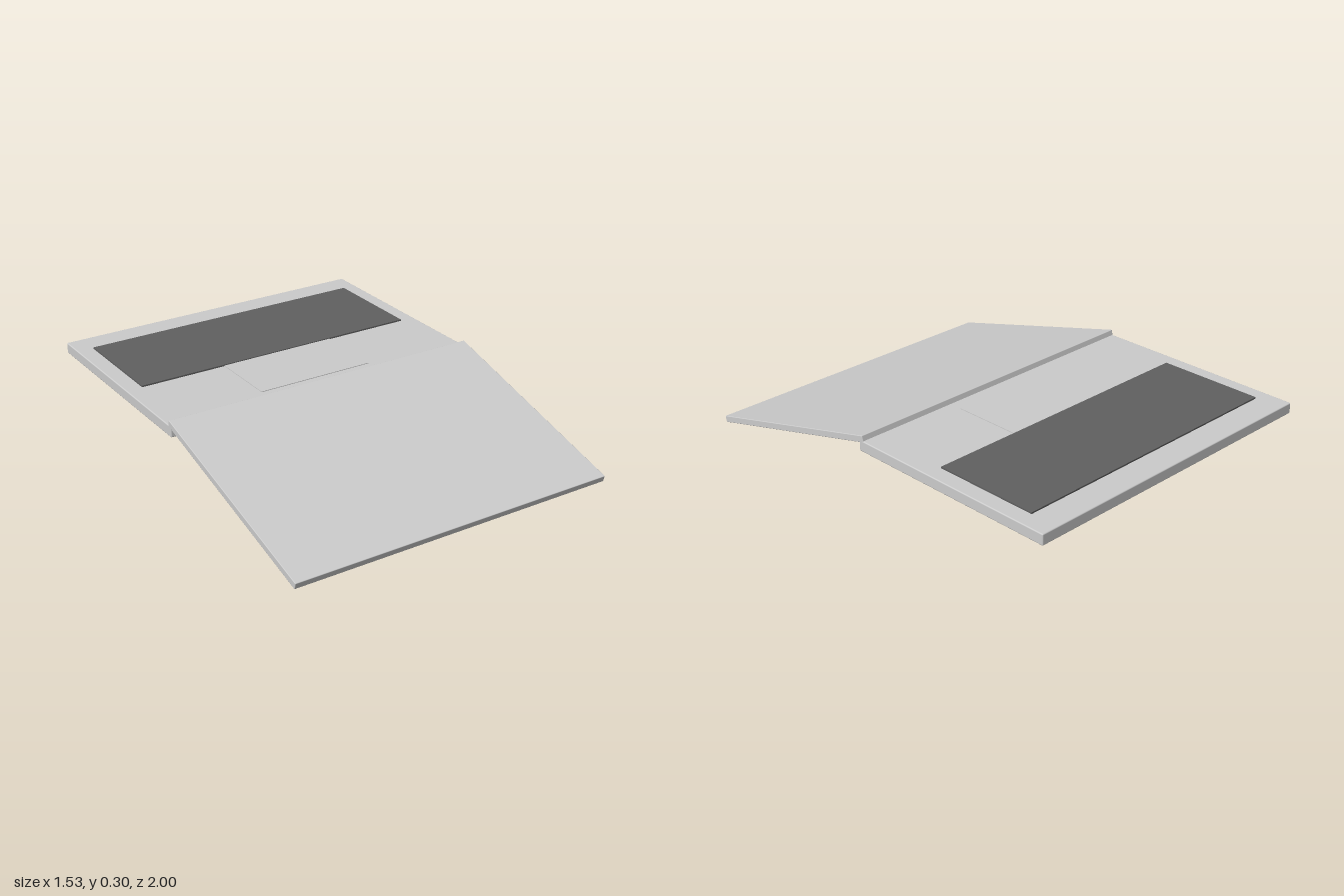
import * as THREE from 'three';
import { RoundedBoxGeometry } from 'three/addons/geometries/RoundedBoxGeometry.js';

const WIDTH = 1.53;
const mat = (color) => new THREE.MeshStandardMaterial({ color });

function add(parent, name, geometry, material, x, y, z) {
  const mesh = new THREE.Mesh(geometry, material);
  mesh.name = name;
  mesh.position.set(x, y, z);
  parent.add(mesh);
  return mesh;
}

// Box given by its width and its y and z ranges, centred on x = 0
function slab(parent, name, material, width, [y0, y1], [z0, z1], radius = 0) {
  const size = [width, y1 - y0, z1 - z0];
  const geometry = radius
    ? new RoundedBoxGeometry(...size, 2, radius)
    : new THREE.BoxGeometry(...size);
  return add(parent, name, geometry, material, 0, (y0 + y1) / 2, (z0 + z1) / 2);
}

export function createModel() {
  const model = new THREE.Group();
  model.name = 'laptop';
  const grey = mat(0xcccccc);
  const keys = mat(0x606060);
  const black = mat(0x222222);
  const glass = mat(0x101c2c);

  // Keyboard half, lying level
  const base = new THREE.Group();
  base.name = 'base';
  slab(base, 'baseBody', grey, WIDTH, [0.227, 0.277], [-1, 0.035], 0.005);
  slab(base, 'keyboard', keys, 1.38, [0.27, 0.284], [-0.87, -0.375]);
  slab(base, 'trackpad', grey, 0.56, [0.27, 0.28], [-0.375, -0.05]);
  model.add(base);

  // Screen half, folded back past flat and sloping down to the front
  const lid = new THREE.Group();
  lid.name = 'lid';
  lid.position.set(0, 0.155, 0.5055);
  lid.rotation.x = THREE.MathUtils.degToRad(15);
  slab(lid, 'lidShell', grey, WIDTH, [-0.015, 0.015], [-0.508, 0.508], 0.003);
  slab(lid, 'screenBezel', black, 1.44, [-0.032, -0.014], [-0.46, 0.467]);
  slab(lid, 'display', glass, 1.38, [-0.034, -0.03], [-0.41, 0.437]);
  add(lid, 'camera', new THREE.CylinderGeometry(0.006, 0.006, 0.003, 16), glass, 0, -0.032, 0.452);
  model.add(lid);

  return model;
}
